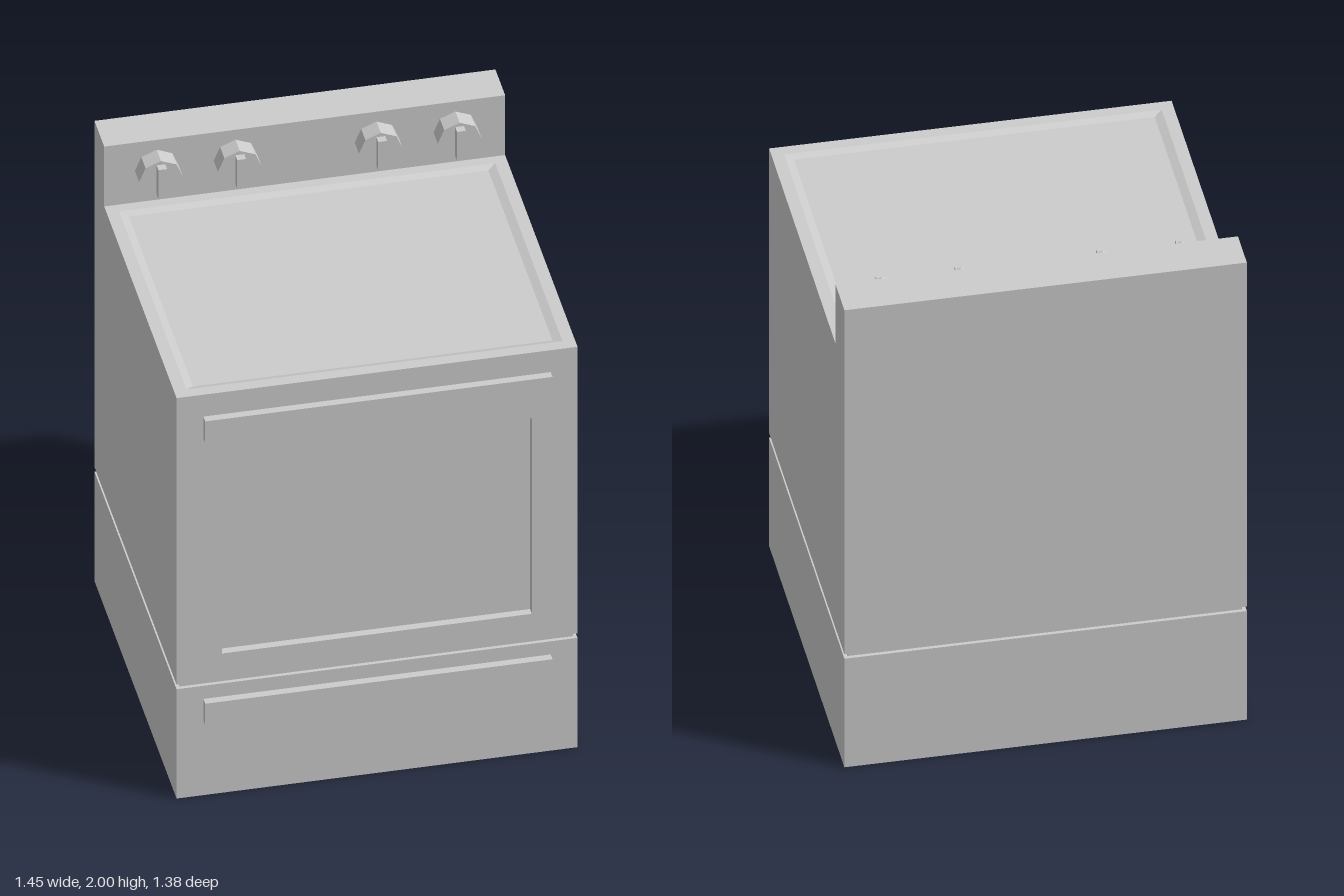
import * as THREE from 'three';

const material = new THREE.MeshStandardMaterial({ color: 0xcccccc, flatShading: true });

const W = 0.725, FRONT = 0.66, BACK = -0.69, PANEL = -0.53; // half width and depths
const DOOR_Y = 0.495, TOP_Y = 1.74, PANEL_Y = 2;

function add(parent, name, geometry, x = 0, y = 0, z = 0) {
  const mesh = new THREE.Mesh(geometry, material);
  mesh.name = name;
  mesh.position.set(x, y, z);
  parent.add(mesh);
  return mesh;
}

// Box given by its half width and its y and z ranges
function addBox(parent, name, hx, y0, y1, z0, z1) {
  return add(parent, name, new THREE.BoxGeometry(hx * 2, y1 - y0, z1 - z0), 0, (y0 + y1) / 2, (z0 + z1) / 2);
}

// Rectangular cross-sections: lying flat (from above) and upright (from the front)
const flatRing = (hx, zf, zb, y) => [[-hx, y, zf], [hx, y, zf], [hx, y, zb], [-hx, y, zb]];
const uprightRing = (hx, y0, y1, z) => [[-hx, y0, z], [hx, y0, z], [hx, y1, z], [-hx, y1, z]];

// Oven casing: walls, recessed cooktop tray, recessed window and rear panel
function casingGeometry() {
  const points = [];
  const quad = (a, b, c, d) => points.push(...a, ...b, ...c, ...a, ...c, ...d);
  const band = (a, b, sides = [0, 1, 2, 3]) => {
    for (const i of sides) {
      const j = (i + 1) % 4;
      quad(a[i], a[j], b[j], b[i]);
    }
  };
  const loft = (rings) => {
    for (let i = 1; i < rings.length; i++) band(rings[i - 1], rings[i]);
    quad(...rings[rings.length - 1]);
  };

  // side, back and bottom walls
  const ovenBase = flatRing(W, FRONT, PANEL, DOOR_Y);
  const ovenTop = flatRing(W, FRONT, PANEL, TOP_Y);
  const rearBase = flatRing(W, PANEL, BACK, DOOR_Y);
  const rearMiddle = flatRing(W, PANEL, BACK, TOP_Y);
  band(ovenBase, ovenTop, [1, 3].filter(i => i > 0));
  band(rearBase, rearMiddle, [1, 2, 3]);
  quad(...ovenBase.slice().reverse());
  quad(...rearBase.slice().reverse());

  // rear control panel
  loft([rearMiddle, flatRing(W, PANEL, BACK, PANEL_Y)]);

  // cooktop rim, sloped edge and tray
  loft([ovenTop, flatRing(0.68, 0.615, -0.49, TOP_Y), flatRing(0.65, 0.59, -0.465, TOP_Y - 0.01)]);

  // door face and window recess
  loft([
    uprightRing(W, DOOR_Y, TOP_Y, FRONT),
    uprightRing(0.56, 0.605, 1.455, FRONT),
    uprightRing(0.56, 0.605, 1.455, FRONT - 0.03),
  ]);

  const geometry = new THREE.BufferGeometry();
  geometry.setAttribute('position', new THREE.Float32BufferAttribute(points, 3));
  geometry.computeVertexNormals();
  return geometry;
}

// Octagonal dial with a raised grip
function createKnob(x) {
  const knob = new THREE.Group();
  knob.name = 'knob';
  knob.position.set(x, 1.878, PANEL);
  const dial = new THREE.CylinderGeometry(0.079, 0.079, 0.07, 8).rotateX(Math.PI / 2);
  add(knob, 'knobDial', dial, 0, 0, 0.035);
  add(knob, 'knobGrip', new THREE.BoxGeometry(0.032, 0.125, 0.04), 0, 0, 0.08);
  return knob;
}

export function createModel() {
  const stove = new THREE.Group();
  stove.name = 'stove';

  add(stove, 'ovenCasing', casingGeometry());
  addBox(stove, 'drawer', W, 0, 0.475, BACK, FRONT);
  // narrow shadow gap between drawer and oven
  addBox(stove, 'gapCore', W - 0.014, 0.475, DOOR_Y, BACK + 0.014, FRONT - 0.014);
  addBox(stove, 'ovenHandle', 0.628, 1.55, 1.645, FRONT, 0.69);
  addBox(stove, 'drawerHandle', 0.628, 0.323, 0.418, FRONT, 0.69);

  for (const x of [-0.535, -0.25, 0.26, 0.545]) stove.add(createKnob(x));
  return stove;
}
